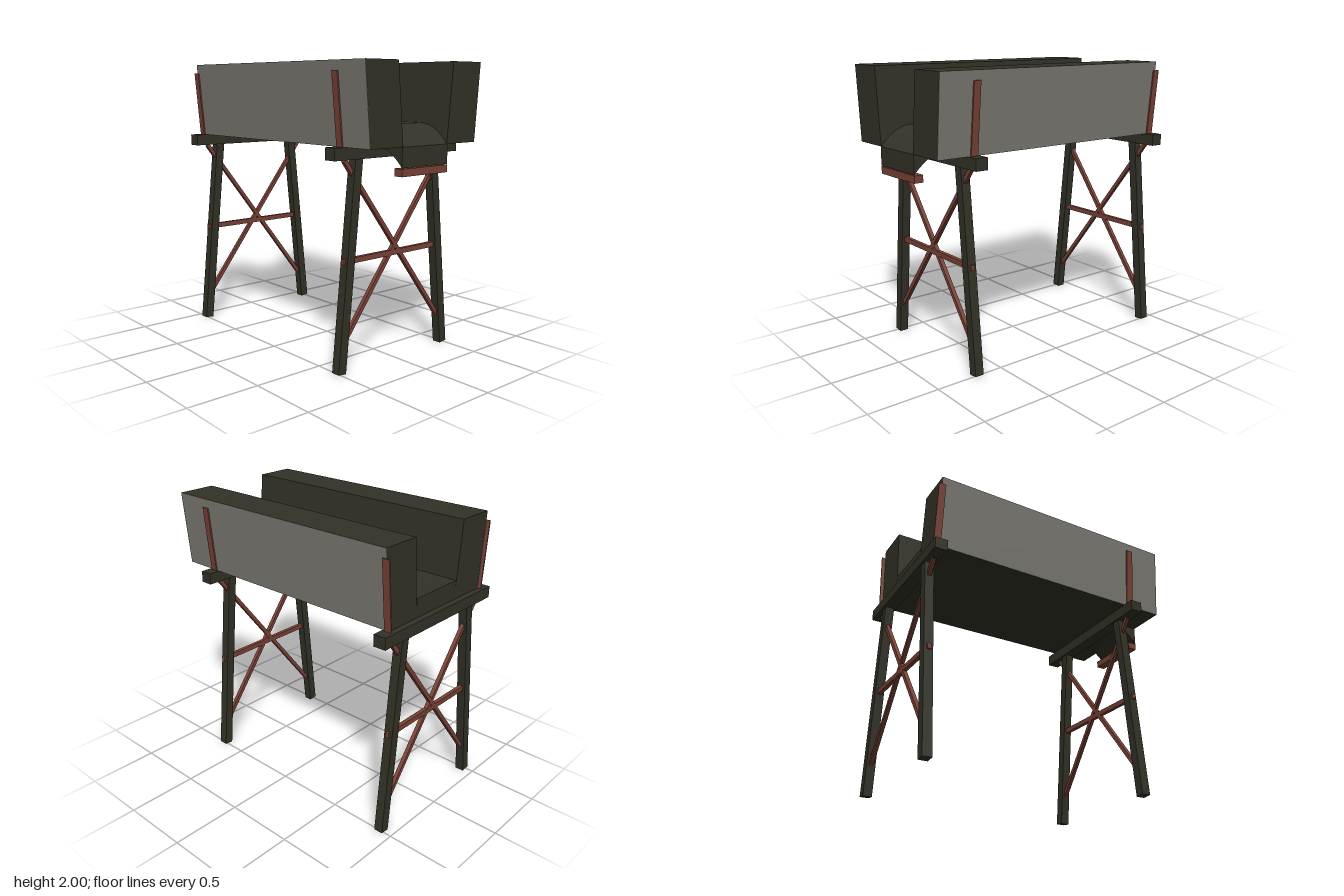
import * as THREE from 'three';

const darkWood = new THREE.MeshStandardMaterial({ color: 0x31312a });
darkWood.name = 'dark wood';
darkWood.color.set(0x323227);
const redWood = new THREE.MeshStandardMaterial({ color: 0x7a4236 });
redWood.name = 'red wood';
const greyBoard = new THREE.MeshStandardMaterial({ color: 0x7c7b74 });
greyBoard.name = 'grey board';

const BACK = -0.91, FRONT = 0.957;

function add(parent, name, geometry, material) {
  const mesh = new THREE.Mesh(geometry, material);
  mesh.name = name;
  parent.add(mesh);
  return mesh;
}

function box(parent, name, material, size, position) {
  const mesh = add(parent, name, new THREE.BoxGeometry(...size), material);
  mesh.position.set(...position);
  return mesh;
}

// Straight beam between two points of the x-y plane at depth z
function beam(parent, name, material, [x0, y0], [x1, y1], z, width, depth) {
  const mesh = box(parent, name, material,
    [width, Math.hypot(x1 - x0, y1 - y0), depth], [(x0 + x1) / 2, (y0 + y1) / 2, z]);
  mesh.rotation.z = -Math.atan2(x1 - x0, y1 - y0);
  return mesh;
}

// Cross-section in x-y, extruded along the trough
function alongTrough(points) {
  const shape = new THREE.Shape(points.map(([x, y]) => new THREE.Vector2(x, y)));
  return new THREE.ExtrudeGeometry(shape, { depth: FRONT - BACK, bevelEnabled: false })
    .translate(0, 0, BACK);
}

// Trestle: cap beam, splayed legs, crossed braces, rail and thin side stakes
function trestle(name, z) {
  const group = new THREE.Group();
  group.name = name;
  box(group, 'capBeam', darkWood, [1.14, 0.08, 0.09], [0, 1.43, z]);
  box(group, 'rail', redWood, [0.93, 0.036, 0.028], [0, 0.738, z]);
  for (const s of [1, -1]) {
    beam(group, 'leg', darkWood, [s * 0.49, 0.003], [s * 0.35, 1.41], z, 0.064, 0.064);
    beam(group, 'crossBrace', redWood, [-s * 0.445, 0.215], [s * 0.455, 1.385], z, 0.028, 0.028);
    beam(group, 'sideStake', redWood, [s * 0.489, 1.465], [s * 0.532, 1.937], z, 0.01, 0.052);
  }
  return group;
}

export function createModel() {
  const model = new THREE.Group();
  model.name = 'waterTrough';

  const trough = new THREE.Group();
  trough.name = 'trough';
  model.add(trough);

  // Thick leaning walls with a grey board on the outside
  for (const s of [1, -1]) {
    add(trough, 'wall', alongTrough([
      [s * 0.205, 1.47], [s * 0.483, 1.47], [s * 0.529, 2], [s * 0.253, 2]]), darkWood);
    add(trough, 'outerBoard', alongTrough([
      [s * 0.483, 1.47], [s * 0.485, 1.47], [s * 0.531, 1.999], [s * 0.529, 1.999]]), greyBoard);
  }

  // Floor with a spout curving down at the front; profile in z-y
  const drop = 0.13, bend = 0.72, mid = (bend + FRONT) / 2;
  const profile = new THREE.Shape();
  profile.moveTo(BACK, 1.47);
  profile.lineTo(bend, 1.47);
  profile.quadraticCurveTo(mid, 1.47, FRONT, 1.47 - drop);
  profile.lineTo(FRONT, 1.6 - drop);
  profile.quadraticCurveTo(mid, 1.6, bend, 1.6);
  profile.lineTo(BACK, 1.6);
  const floor = new THREE.ExtrudeGeometry(profile, {
    depth: 0.424, bevelEnabled: false, curveSegments: 14,
  });
  floor.translate(0, 0, -0.212).rotateY(-Math.PI / 2);
  add(trough, 'floorAndSpout', floor, darkWood);
  box(trough, 'spoutBar', redWood, [0.424, 0.05, 0.065], [0, 1.31, FRONT - 0.0325]);

  model.add(trestle('frontTrestle', 0.69), trestle('backTrestle', -0.91));
  return model;
}
